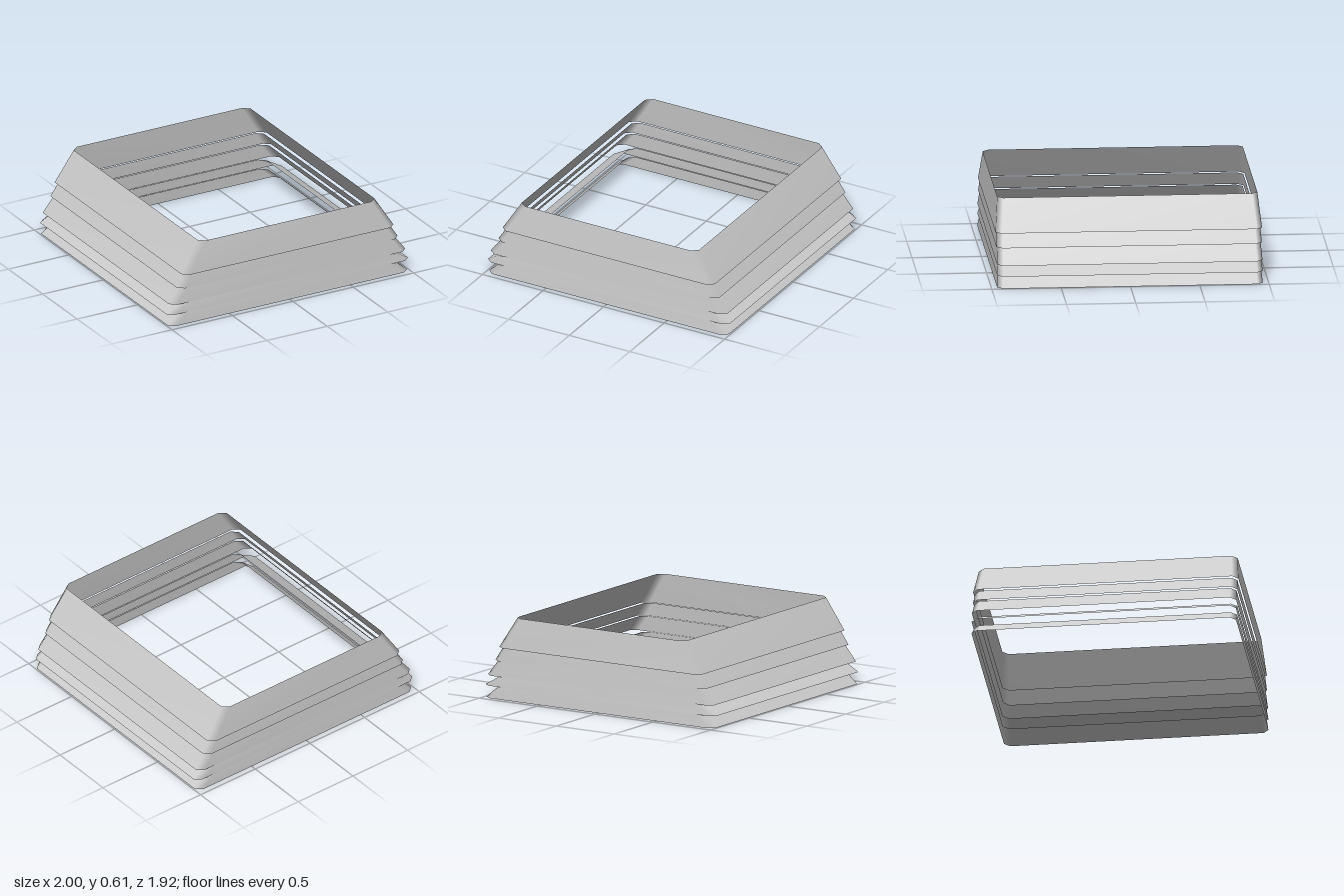
import * as THREE from 'three';

const material = new THREE.MeshStandardMaterial({ color: 0xcccccc, side: THREE.DoubleSide });

// Rectangle with cut corners, as eight points around the y axis
function ring([hx, y, hz]) {
  const cx = 0.047, cz = 0.04;
  return [
    [hx, -hz + cz], [hx, hz - cz], [hx - cx, hz], [-hx + cx, hz],
    [-hx, hz - cz], [-hx, -hz + cz], [-hx + cx, -hz], [hx - cx, -hz],
  ].flatMap(([x, z]) => [x, y, z]);
}

// Open sloping band between a lower and an upper ring
function bandGeometry(lower, upper) {
  const geometry = new THREE.BufferGeometry();
  geometry.setAttribute('position',
    new THREE.Float32BufferAttribute([...ring(lower), ...ring(upper)], 3));
  const index = [];
  for (let i = 0; i < 8; i++) {
    const j = (i + 1) % 8;
    index.push(i, i + 8, j, j, i + 8, j + 8);
  }
  geometry.setIndex(index);
  geometry.computeVertexNormals();
  return geometry;
}

export function createModel() {
  const group = new THREE.Group();
  group.name = 'tieredSkirt';

  // Each tier: [half width, height, half depth] at the bottom and at the top
  const tiers = [
    ['bottomTier', [0.99, 0, 0.958], [0.885, 0.09, 0.952]],
    ['lowerTier', [1.0, 0.09, 0.957], [0.87, 0.165, 0.952]],
    ['middleTier', [0.978, 0.165, 0.957], [0.89, 0.28, 0.949]],
    ['upperTier', [0.914, 0.28, 0.957], [0.85, 0.38, 0.95]],
    ['topTier', [0.877, 0.38, 0.961], [0.732, 0.61, 0.938]],
  ];
  for (const [name, lower, upper] of tiers) {
    const mesh = new THREE.Mesh(bandGeometry(lower, upper), material);
    mesh.name = name;
    group.add(mesh);
  }
  return group;
}
